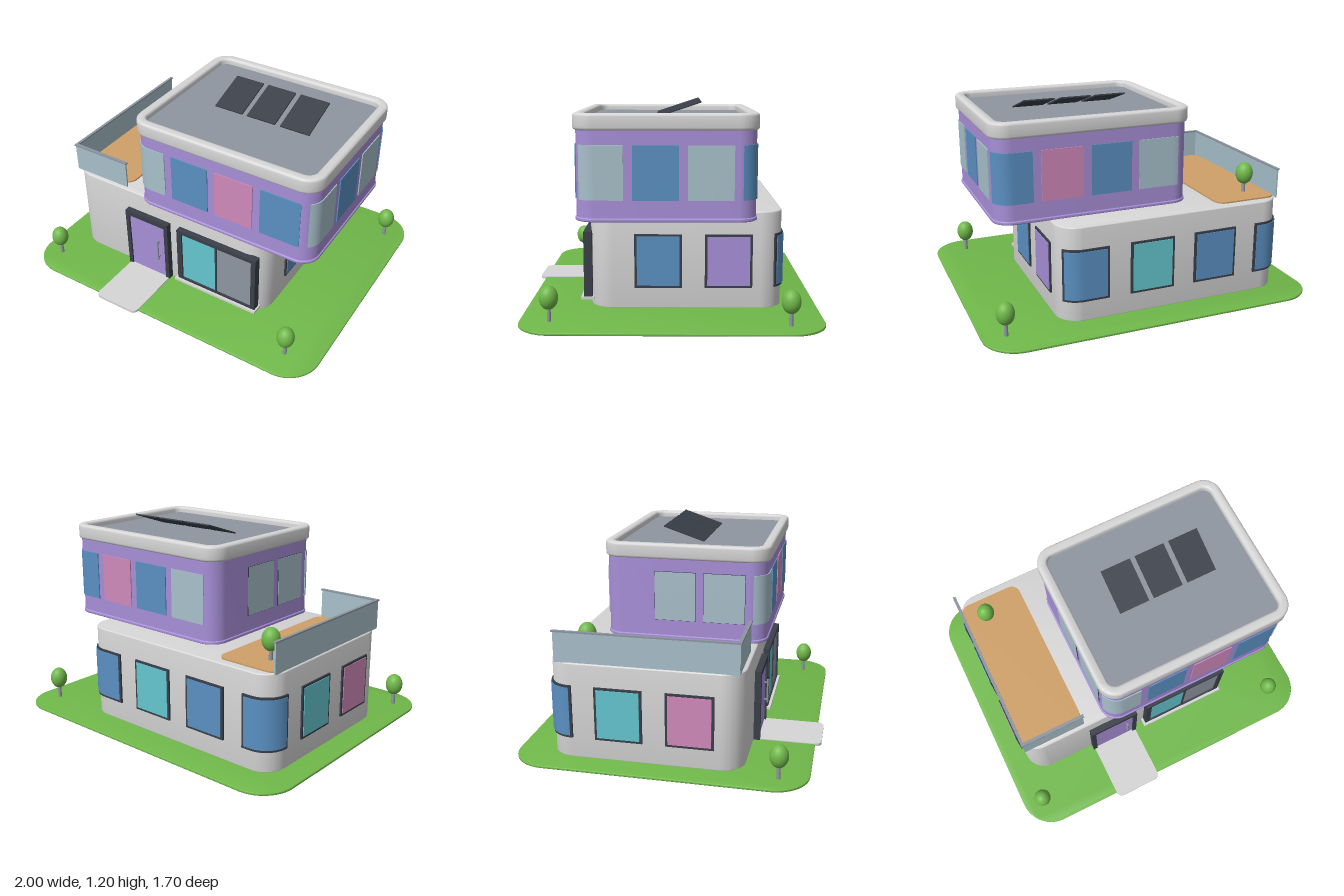
import * as THREE from 'three';
import { toCreasedNormals } from 'three/addons/utils/BufferGeometryUtils.js';

const paint = (name, color) => {
  const m = new THREE.MeshStandardMaterial({ color });
  m.name = name;
  return m;
};

export function createModel() {
  const white = paint('white render', 0xd6d6d6), purple = paint('purple', 0xa88fd8);
  const dark = paint('charcoal', 0x3a3f49), grey = paint('roof grey', 0x8f96a1);
  const green = paint('green', 0x70b84a), wood = paint('deck wood', 0xd0a068);
  const pale = paint('pale glass', 0xa8c0cb), blue = paint('blue glass', 0x5a90c2);
  const teal = paint('teal glass', 0x64c6d0), pink = paint('pink glass', 0xd08abb);

  const model = new THREE.Group();
  const add = (name, geo, mat, parent = model) => {
    const mesh = new THREE.Mesh(geo, mat);
    mesh.name = name;
    parent.add(mesh);
    return mesh;
  };
  const group = (name) => {
    const g = new THREE.Group();
    g.name = name;
    model.add(g);
    return g;
  };
  // Box given by its minimum and maximum on each axis
  const box = (name, mat, x0, x1, y0, y1, z0, z1, parent) => add(name,
    new THREE.BoxGeometry(x1 - x0, y1 - y0, z1 - z0)
      .translate((x0 + x1) / 2, (y0 + y1) / 2, (z0 + z1) / 2), mat, parent);

  // Plan shapes use (x, -z) and are extruded upwards
  const rounded = (target, { x0, x1, z0, z1, r }, inset = 0) => {
    const a = x0 + inset, b = x1 - inset, c = -z1 + inset, d = -z0 - inset;
    const k = Math.max(r - inset, 0.01);
    target.moveTo(a + k, c).lineTo(b - k, c);
    target.absarc(b - k, c + k, k, -Math.PI / 2, 0);
    target.absarc(b - k, d - k, k, 0, Math.PI / 2);
    target.absarc(a + k, d - k, k, Math.PI / 2, Math.PI);
    target.absarc(a + k, c + k, k, Math.PI, Math.PI * 1.5);
    return target;
  };
  const raise = (shape, y0, y1, bevel = 0) => {
    const geo = new THREE.ExtrudeGeometry(shape, {
      depth: y1 - y0 - 2 * bevel, curveSegments: 12, bevelEnabled: bevel > 0,
      bevelSize: bevel, bevelThickness: bevel, bevelOffset: -bevel, bevelSegments: 4,
    });
    return toCreasedNormals(geo.rotateX(-Math.PI / 2).translate(0, y0 + bevel, 0), 0.6);
  };
  const slab = (name, mat, plan, y0, y1, bevel = 0, inset = 0) =>
    add(name, raise(rounded(new THREE.Shape(), plan, inset), y0, y1, bevel), mat);

  // Point at distance s round a rounded plan, pushed outwards by d
  const around = ({ x0, x1, z0, z1, r }, s, d) => {
    const lengths = [x1 - x0 - 2 * r, z1 - z0 - 2 * r], arc = r * Math.PI / 2;
    const starts = [[x0 + r, -z1], [x1, -z1 + r], [x1 - r, -z0], [x0, -z0 - r]];
    const total = 2 * (lengths[0] + lengths[1]) + 4 * arc;
    s = ((s % total) + total) % total;
    for (let i = 0; i < 4; i++) {
      const a = i * Math.PI / 2, len = lengths[i % 2], [px, py] = starts[i];
      const t = Math.min(s, len);
      const nx = Math.sin(a), ny = -Math.cos(a);
      const x = px + Math.cos(a) * t, y = py + Math.sin(a) * t;
      if (s <= len) return new THREE.Vector2(x + nx * d, y + ny * d);
      s -= len;
      if (s <= arc) {
        const q = a - Math.PI / 2 + s / r;
        return new THREE.Vector2(x - nx * r + Math.cos(q) * (r + d), y - ny * r + Math.sin(q) * (r + d));
      }
      s -= arc;
    }
    return new THREE.Vector2(...starts[0]);
  };
  // Thin panel that follows the wall, bending round the corners
  const panel = (name, mat, plan, s, width, y0, y1, out, parent) => {
    const outer = [], inner = [];
    for (let i = 0; i <= 16; i++) {
      const p = s - width / 2 + width * i / 16;
      outer.push(around(plan, p, out));
      inner.unshift(around(plan, p, -0.004));
    }
    return add(name, raise(new THREE.Shape([...outer, ...inner]), y0, y1), mat, parent);
  };

  // Garden
  slab('lawn', green, { x0: -1, x1: 1, z0: -0.85, z1: 0.81, r: 0.2 }, 0.005, 0.02, 0.004);
  slab('gardenPath', white, { x0: -0.42, x1: -0.12, z0: 0.46, z1: 0.845, r: 0.035 }, 0.009, 0.025);
  box('doorStep', grey, -0.42, -0.11, 0, 0.018, 0.44, 0.52);

  // Ground floor with windows spaced evenly round three sides
  const lower = { x0: -0.85, x1: 0.545, z0: -0.65, z1: 0.45, r: 0.13 };
  slab('groundFloor', white, lower, 0.015, 0.577, 0.008);
  const lowerWindows = group('groundFloorWindows');
  [blue, purple, blue, teal, blue, blue, teal, pink].forEach((glass, i) => {
    const s = 1.6 + 0.4 * i;
    panel('windowFrame', dark, lower, s, 0.27, 0.138, 0.448, 0.01, lowerWindows);
    panel('windowGlass', glass, lower, s, 0.242, 0.152, 0.436, 0.014, lowerWindows);
  });

  // Front door
  const door = group('frontDoor');
  box('doorFrameTop', dark, -0.43, -0.115, 0.415, 0.448, 0.44, 0.488, door);
  box('doorFrameRight', dark, -0.43, -0.403, 0.018, 0.415, 0.44, 0.488, door);
  box('doorFrameLeft', dark, -0.142, -0.115, 0.018, 0.415, 0.44, 0.488, door);
  box('doorLeaf', purple, -0.404, -0.141, 0.018, 0.416, 0.44, 0.478, door);
  add('doorHandle', new THREE.CylinderGeometry(0.006, 0.006, 0.15, 12).translate(-0.185, 0.235, 0.499), grey, door);
  for (const y of [0.18, 0.29]) box('handleMount', grey, -0.189, -0.181, y - 0.004, y + 0.004, 0.475, 0.499, door);

  // Sliding front window
  const slider = group('slidingWindow');
  box('sliderFrameTop', dark, -0.045, 0.505, 0.43, 0.452, 0.44, 0.488, slider);
  box('sliderFrameBase', dark, -0.045, 0.505, 0.072, 0.086, 0.44, 0.488, slider);
  box('sliderFrameRight', dark, -0.045, -0.011, 0.086, 0.43, 0.44, 0.488, slider);
  box('sliderFrameLeft', dark, 0.475, 0.505, 0.086, 0.43, 0.44, 0.488, slider);
  box('sliderMullion', dark, 0.226, 0.238, 0.086, 0.43, 0.44, 0.484, slider);
  box('sliderGlass', teal, -0.011, 0.226, 0.086, 0.43, 0.44, 0.478, slider);
  box('sliderScreen', grey, 0.238, 0.475, 0.086, 0.43, 0.44, 0.478, slider);
  box('windowSill', white, -0.06, 0.515, 0.058, 0.072, 0.43, 0.505, slider);

  // Upper floor
  const upper = { x0: -0.315, x1: 0.845, z0: -0.47, z1: 0.49, r: 0.1 };
  slab('upperFloor', purple, upper, 0.58, 1.08);
  slab('upperFloorLip', purple, { x0: -0.322, x1: 0.852, z0: -0.477, z1: 0.497, r: 0.107 }, 0.574, 0.595, 0.007);
  slab('soffit', grey, upper, 0.57, 0.578, 0, 0.055);
  const upperWindows = group('upperFloorWindows');
  [blue, pink, blue, pale, blue, pale, blue, pink, blue, pale, null, pale, pale, pale].forEach((glass, i) => {
    if (!glass) return;
    const s = 0.28 + 0.2906 * i;
    if (i === 11 || i === 12) panel('windowBacking', dark, upper, s, 0.247, 0.688, 0.982, 0.004, upperWindows);
    panel('windowGlass', glass, upper, s, 0.243, 0.69, 0.98, 0.006, upperWindows);
  });

  // Roof rim, recessed roof and tilted solar panels
  const rimPlan = { x0: -0.33, x1: 0.86, z0: -0.483, z1: 0.505, r: 0.11 };
  const rim = rounded(new THREE.Shape(), rimPlan);
  rim.holes.push(rounded(new THREE.Path(), rimPlan, 0.057));
  add('roofRim', raise(rim, 1.055, 1.145, 0.016), white);
  slab('roofSurface', grey, upper, 1.07, 1.108, 0, 0.02);
  const solar = group('solarPanels');
  for (const x of [0.065, 0.28, 0.497]) {
    const p = add('solarPanel', new THREE.BoxGeometry(0.184, 0.008, 0.264), dark, solar);
    p.position.set(x, 1.152, -0.055);
    p.rotation.x = 0.32;
  }

  // Roof terrace with glass railing
  slab('terraceDeck', wood, { x0: -0.84, x1: -0.445, z0: -0.6, z1: 0.395, r: 0.06 }, 0.572, 0.586);
  const railing = group('terraceRailing');
  box('sideGlass', pale, -0.842, -0.832, 0.575, 0.747, -0.605, 0.425, railing);
  box('frontGlass', pale, -0.84, -0.45, 0.575, 0.747, 0.417, 0.427, railing);
  box('sideHandrail', grey, -0.846, -0.828, 0.747, 0.756, -0.612, 0.432, railing);
  box('frontHandrail', grey, -0.846, -0.443, 0.747, 0.756, 0.412, 0.432, railing);

  // Small trees
  for (const [x, y, z] of [[-0.87, 0.015, 0.645], [0.8, 0.015, 0.645], [0.865, 0.015, -0.655], [-0.7, 0.565, -0.455]]) {
    const tree = group('tree');
    tree.position.set(x, y, z);
    add('trunk', new THREE.CylinderGeometry(0.01, 0.012, 0.09, 12).translate(0, 0.045, 0), grey, tree);
    add('foliage', new THREE.SphereGeometry(0.052, 24, 16).scale(1, 1.27, 1).translate(0, 0.137, 0), green, tree);
  }
  return model;
}
